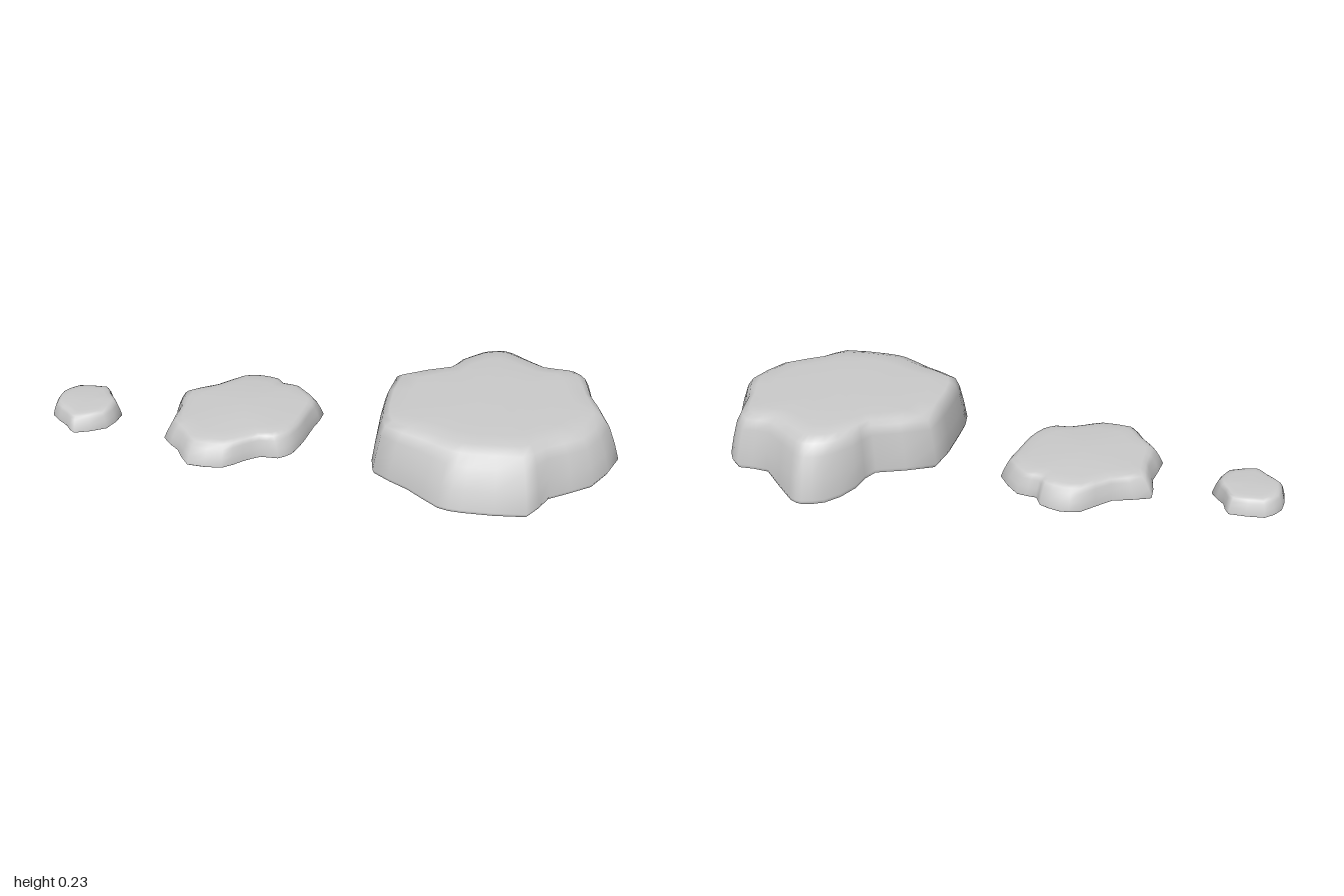
import * as THREE from 'three';

// Wall and top rings: [share of the shoulder inset, share of height, extra shrink]
const RINGS = [
  [0, 0, 0.985], [0, 0.07, 1], [0.22, 0.4, 1], [0.5, 0.73, 1],
  [0.78, 0.9, 1], [1.05, 0.97, 0.97], [1.1, 0.99, 0.8], [1.1, 1, 0.45],
];

// Outline points are [x, z, shoulder scale], going from +x towards +z
function makeStone(name, { outline, centre, base, belly, top }) {
  const curve = new THREE.CatmullRomCurve3(
    outline.map(([x, z, s]) => new THREE.Vector3(x, s, z)), true, 'catmullrom', 0.3);
  const n = outline.length * 2;
  const rim = Array.from({ length: n }, (_, j) => curve.getPoint(j / n));
  const [cx, cz] = centre;
  const pos = [], index = [];

  // Side walls, rounded shoulder and top
  for (const [inset, h, shrink] of RINGS) {
    for (const p of rim) {
      const k = (1 - (1 - p.y) * inset) * shrink;
      const x = cx + (p.x - cx) * k, z = cz + (p.z - cz) * k;
      const b = base(p.x, p.z);
      pos.push(x, b + (top(x, z) - b) * h, z);
    }
  }
  for (let i = 0; i < RINGS.length - 1; i++) {
    for (let j = 0; j < n; j++) {
      const a = i * n + j, a1 = i * n + (j + 1) % n;
      index.push(a, a + n, a1, a1, a + n, a1 + n);
    }
  }
  const crown = pos.length / 3, last = (RINGS.length - 1) * n;
  pos.push(cx, top(cx, cz), cz);
  for (let j = 0; j < n; j++) index.push(last + j, crown, last + (j + 1) % n);

  // Underside with its own vertices, so its edge stays crisp
  const under = crown + 1;
  for (const k of [0.985, 0.5]) {
    for (const p of rim) {
      const b = base(p.x, p.z);
      pos.push(cx + (p.x - cx) * k, k > 0.9 ? b : (b + belly) / 2, cz + (p.z - cz) * k);
    }
  }
  const mid = under + 2 * n;
  pos.push(cx, belly, cz);
  for (let j = 0; j < n; j++) {
    const a = under + j, a1 = under + (j + 1) % n;
    index.push(a, a1, a + n, a1, a1 + n, a + n, a + n, a1 + n, mid);
  }

  const geo = new THREE.BufferGeometry();
  geo.setAttribute('position', new THREE.Float32BufferAttribute(pos, 3));
  geo.setIndex(index);
  geo.computeVertexNormals();
  const mesh = new THREE.Mesh(geo, new THREE.MeshStandardMaterial({ color: 0xcccccc, roughness: 0.9 }));
  mesh.name = name;
  return mesh;
}

const largeStone = {
  centre: [0.57, 0], belly: 0.012,
  base: (x, z) => 0.03 - 0.028 * THREE.MathUtils.smoothstep(-z, 0.22, 0.36),
  top: (x, z) => 0.23 - 0.035 * Math.max(0, x - 0.6) - 0.03 * Math.max(0, -z - 0.2),
  outline: [
    [0.995, 0.04, 0.8], [0.91, 0.2, 0.82], [0.77, 0.29, 0.82], [0.7, 0.4, 0.73],
    [0.49, 0.41, 0.74], [0.41, 0.395, 0.75], [0.3, 0.31, 0.82], [0.18, 0.235, 0.88],
    [0.17, 0.11, 0.91], [0.19, -0.11, 0.9], [0.38, -0.2, 0.9], [0.42, -0.29, 0.85],
    [0.5, -0.385, 0.8], [0.57, -0.415, 0.78], [0.62, -0.4, 0.78], [0.755, -0.28, 0.85],
    [0.865, -0.28, 0.84], [0.91, -0.23, 0.84], [0.92, -0.1, 0.88],
  ],
};

const mediumStone = {
  centre: [-0.31, 0.01], belly: 0.025,
  base: () => 0.022,
  top: (x, z) => 0.106 + 0.008 * Math.sin(9 * x + 4.2) * Math.cos(8 * z),
  outline: [
    [-0.04, -0.1, 0.84], [-0.06, -0.015, 0.88], [-0.08, 0.08, 0.88], [-0.107, 0.155, 0.84],
    [-0.15, 0.19, 0.84], [-0.21, 0.19, 0.88], [-0.265, 0.225, 0.87], [-0.33, 0.275, 0.82],
    [-0.45, 0.275, 0.8], [-0.5, 0.2, 0.83], [-0.565, 0.135, 0.8], [-0.55, 0.015, 0.86],
    [-0.565, -0.09, 0.8], [-0.44, -0.14, 0.88], [-0.35, -0.235, 0.83], [-0.28, -0.25, 0.82],
    [-0.21, -0.23, 0.84], [-0.187, -0.19, 0.88], [-0.117, -0.185, 0.84],
  ],
};

const smallStone = {
  centre: [-0.88, 0.01], belly: 0.015,
  base: (x) => 0.02 - 0.03 * Math.max(0, x + 0.9),
  top: (x, z) => 0.081 - 0.03 * Math.abs(z),
  outline: [
    [-0.755, 0.005, 0.78], [-0.785, 0.095, 0.78], [-0.89, 0.145, 0.74], [-0.93, 0.105, 0.8],
    [-0.995, 0.05, 0.8], [-0.995, -0.04, 0.8], [-0.945, -0.1, 0.78], [-0.825, -0.107, 0.78],
    [-0.8, -0.05, 0.88],
  ],
};

export function createModel() {
  const group = new THREE.Group();
  group.name = 'steppingStones';
  group.add(
    makeStone('largeStone', largeStone),
    makeStone('mediumStone', mediumStone),
    makeStone('smallStone', smallStone),
  );
  return group;
}
